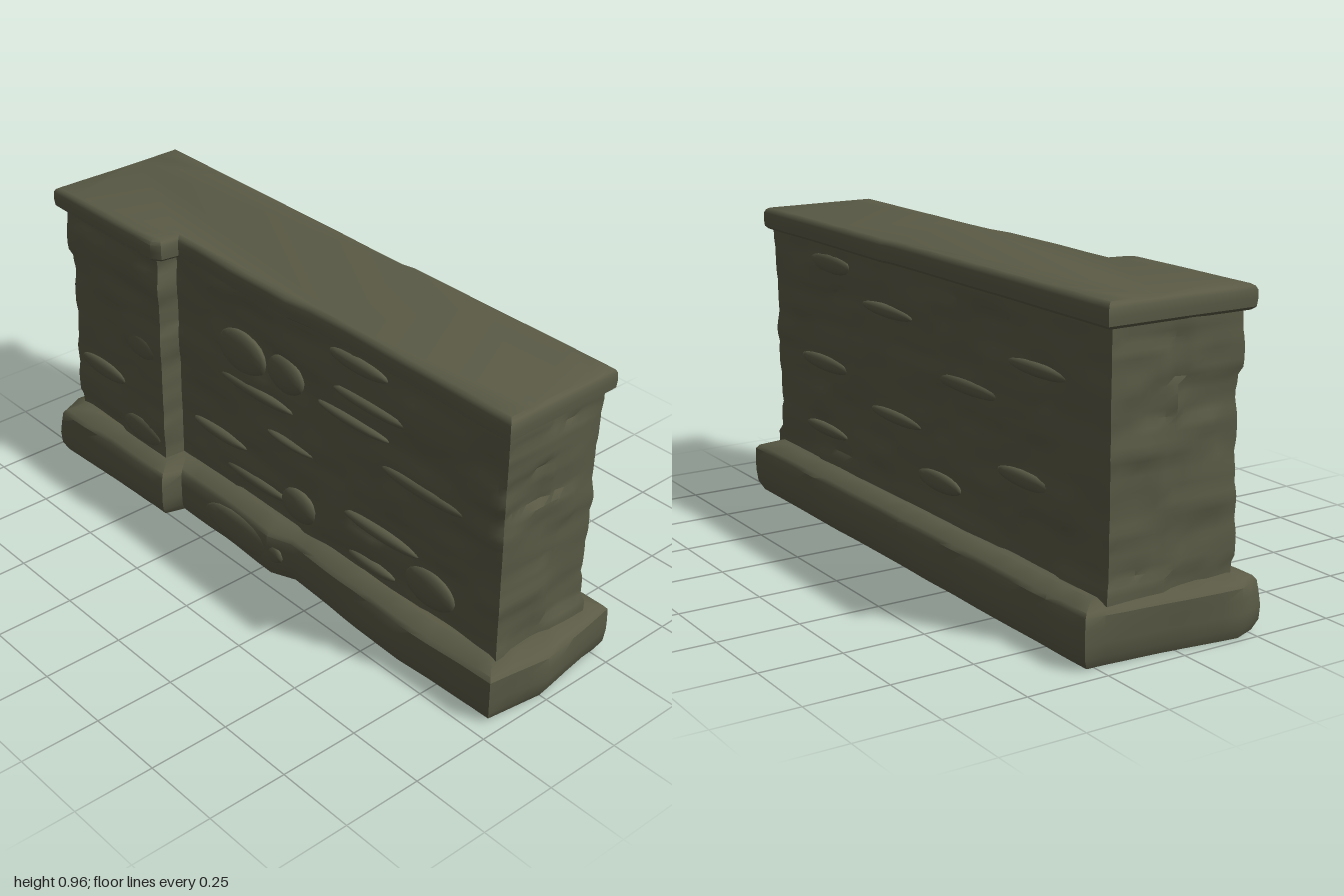
import * as THREE from 'three';
import { toCreasedNormals } from 'three/addons/utils/BufferGeometryUtils.js';

// Seeded smooth noise, about -1..1
function hash(x, y, z) {
  const s = Math.sin(x * 127.1 + y * 311.7 + z * 74.7) * 43758.5453;
  return (s - Math.floor(s)) * 2 - 1;
}
function noise(x, y, z) {
  const c = [x, y, z].map(Math.floor);
  const f = [x - c[0], y - c[1], z - c[2]].map((t) => t * t * (3 - 2 * t));
  let sum = 0;
  for (let k = 0; k < 8; k++) {
    const b = [k & 1, (k >> 1) & 1, k >> 2];
    const w = b.reduce((p, on, i) => p * (on ? f[i] : 1 - f[i]), 1);
    sum += w * hash(c[0] + b[0], c[1] + b[1], c[2] + b[2]);
  }
  return sum;
}

// Outward mitre direction at every corner of an outline of [x, z] points
function mitres(outline) {
  const n = outline.length;
  const normal = (a, b) => {
    const dx = b[0] - a[0], dz = b[1] - a[1], l = Math.hypot(dx, dz);
    return [-dz / l, dx / l];
  };
  return outline.map((p, i) => {
    const a = normal(outline[(i + n - 1) % n], p), b = normal(p, outline[(i + 1) % n]);
    const k = 1 + a[0] * b[0] + a[1] * b[1];
    return [(a[0] + b[0]) / k, (a[1] + b[1]) / k];
  });
}

// Solid whose outline is stacked through levels of [y, inset] and roughened outward
function roughBlock(outline, levels, step, rough, holes = []) {
  const m = mitres(outline), n = outline.length, base = [];
  outline.forEach((p, i) => {
    const j = (i + 1) % n, q = outline[j];
    const count = Math.max(1, Math.round(Math.hypot(q[0] - p[0], q[1] - p[1]) / step));
    for (let k = 0; k < count; k++) {
      const mix = (a, b) => a + (b - a) * (k / count);
      base.push([mix(p[0], q[0]), mix(p[1], q[1]), mix(m[i][0], m[j][0]), mix(m[i][1], m[j][1])]);
    }
  });
  const pos = [], index = [], N = base.length;
  for (const [y, inset] of levels) {
    for (const [x, z, nx, nz] of base) {
      const d = rough(x, y, z, nx, nz) - inset;
      pos.push(x + nx * d, y, z + nz * d);
    }
  }
  for (let r = 0; r < levels.length - 1; r++) {
    for (let i = 0; i < N; i++) {
      const a = r * N + i, b = r * N + (i + 1) % N;
      index.push(a, b, b + N, a, b + N, a + N);
    }
  }
  const ring = (start) => Array.from({ length: N }, (_, i) =>
    new THREE.Vector2(pos[(start + i) * 3], -pos[(start + i) * 3 + 2]));
  const top = (levels.length - 1) * N;
  for (const f of THREE.ShapeUtils.triangulateShape(ring(top), [])) {
    index.push(...f.map((v) => v + top));
  }
  // Underside, with any holes cut through it
  const extra = pos.length / 3;
  const cuts = holes.map(([x, z, r]) => Array.from({ length: 10 }, (_, i) => {
    const t = -i * Math.PI / 5;
    pos.push(x + Math.cos(t) * r, levels[0][0], z - Math.sin(t) * r);
    return new THREE.Vector2(x + Math.cos(t) * r, -z + Math.sin(t) * r);
  }));
  for (const f of THREE.ShapeUtils.triangulateShape(ring(0), cuts)) {
    const [a, b, c] = f.map((v) => (v < N ? v : v - N + extra));
    index.push(a, c, b);
  }
  const g = new THREE.BufferGeometry();
  g.setAttribute('position', new THREE.Float32BufferAttribute(pos, 3));
  g.setIndex(index);
  return toCreasedNormals(g, 0.65);
}

export function createModel() {
  const model = new THREE.Group();
  const stone = new THREE.MeshStandardMaterial({ color: 0x5a5a46, side: THREE.DoubleSide });
  stone.name = 'mossy stone';
  const add = (name, geometry) => {
    const mesh = new THREE.Mesh(geometry, stone);
    mesh.name = name;
    model.add(mesh);
    return mesh;
  };

  // Plinth with a wavy front, sloping shoulder and two peg holes underneath
  const pegs = [[0.73, -0.08, 0.032], [-0.81, -0.055, 0.032]];
  const plinth = [[-0.96, 0.285], [-0.7, 0.275], [-0.41, 0.278], [-0.395, 0.21], [-0.2, 0.21],
    [0.04, 0.22], [0.12, 0.19], [0.35, 0.205], [0.6, 0.215], [0.965, 0.198], [0.995, 0],
    [0.955, -0.293], [-0.955, -0.293], [-0.97, -0.05], [-0.995, 0.2]];
  add('plinth', roughBlock(plinth,
    [[0, 0.02], [0.03, 0.004], [0.07, 0], [0.11, 0], [0.145, 0.002], [0.157, 0.012], [0.174, 0.06]], 0.06,
    (x, y, z) => (z < -0.25 ? 0.002 : 0.007) * noise(x * 7, y * 14, z * 7), pegs));
  for (const [x, z, r] of pegs) {
    const hole = add('pegHole', new THREE.CylinderGeometry(r, r, 0.05, 10, 1, true));
    hole.position.set(x, 0.025, z);
    const end = add('pegHoleEnd', new THREE.CircleGeometry(r, 10));
    end.rotation.x = Math.PI / 2;
    end.position.set(x, 0.05, z);
  }

  // Wall and pillar in one skin, laid in uneven courses
  const wall = [[-0.935, 0.208], [-0.475, 0.208], [-0.47, 0.138], [0.925, 0.138],
    [0.925, -0.208], [-0.935, -0.208]];
  const courses = (x, y, z, nx, nz) => {
    const wavy = y + 0.012 * noise(x * 4, 3, z * 4);
    const row = Math.floor(wavy / 0.105), t = wavy / 0.105 - row;
    const along = Math.abs(nz) > Math.abs(nx) ? x : z;
    const block = Math.floor(along / 0.27 + hash(row, 2, 5));
    const joint = Math.pow(Math.abs(t * 2 - 1), 6);
    return 0.006 * hash(block, row, Math.sign(nz)) - 0.007 * joint * (0.5 + 0.5 * noise(x * 5, row, z * 5))
      + 0.007 * noise(x * 8, y * 18, z * 8);
  };
  const rows = Array.from({ length: 37 }, (_, i) => [0.16 + i * 0.0208, 0]);
  add('wallAndPillar', roughBlock(wall, rows, 0.03, courses));

  // Coping slab following the wall and stepping out over the pillar
  const coping = [[-0.955, 0.248], [-0.455, 0.245], [-0.425, 0.225], [-0.415, 0.17], [0.08, 0.172],
    [0.17, 0.158], [0.95, 0.166], [0.95, -0.24], [0.18, -0.24], [0.14, -0.232], [-0.955, -0.235]];
  add('coping', roughBlock(coping,
    [[0.893, 0.012], [0.902, 0.002], [0.925, 0], [0.947, 0.001], [0.957, 0.006], [0.963, 0.016]], 0.08,
    (x, y, z) => 0.004 * noise(x * 6, y * 8, z * 6)));

  // Proud stones: [x, y, half width, half height]
  const proud = (name, list, z, depth) => {
    for (const [x, y, w, h] of list) {
      const s = add(name, new THREE.SphereGeometry(1, 14, 10));
      s.scale.set(w, h, depth);
      s.position.set(x, y, z);
    }
  };
  proud('roundStone', [[-0.16, 0.67, 0.11, 0.07], [0.04, 0.68, 0.08, 0.06], [0.1, 0.25, 0.08, 0.055],
    [0.66, 0.26, 0.1, 0.06]], 0.136, 0.024);
  proud('ledgeStone', [[-0.1, 0.56, 0.17, 0.02], [0.06, 0.455, 0.11, 0.014], [0.4, 0.74, 0.16, 0.018],
    [0.33, 0.66, 0.15, 0.016], [0.35, 0.85, 0.12, 0.025], [0.62, 0.57, 0.17, 0.022], [-0.28, 0.33, 0.13, 0.02],
    [0.45, 0.34, 0.16, 0.02], [-0.1, 0.24, 0.15, 0.02], [0.42, 0.21, 0.1, 0.02]], 0.136, 0.02);
  proud('pillarStone', [[-0.58, 0.54, 0.08, 0.045], [-0.8, 0.36, 0.12, 0.03], [-0.6, 0.22, 0.1, 0.045]], 0.205, 0.017);
  proud('backStone', [[-0.6, 0.72, 0.15, 0.02], [-0.25, 0.6, 0.18, 0.022], [0.2, 0.74, 0.15, 0.02],
    [0.55, 0.83, 0.14, 0.03], [0.6, 0.5, 0.16, 0.025], [0.15, 0.42, 0.15, 0.02], [-0.55, 0.4, 0.14, 0.025],
    [-0.1, 0.28, 0.12, 0.03], [0.6, 0.28, 0.14, 0.02]], -0.205, 0.017);
  proud('plinthStone', [[-0.09, 0.085, 0.19, 0.06]], 0.205, 0.022);

  return model;
}
